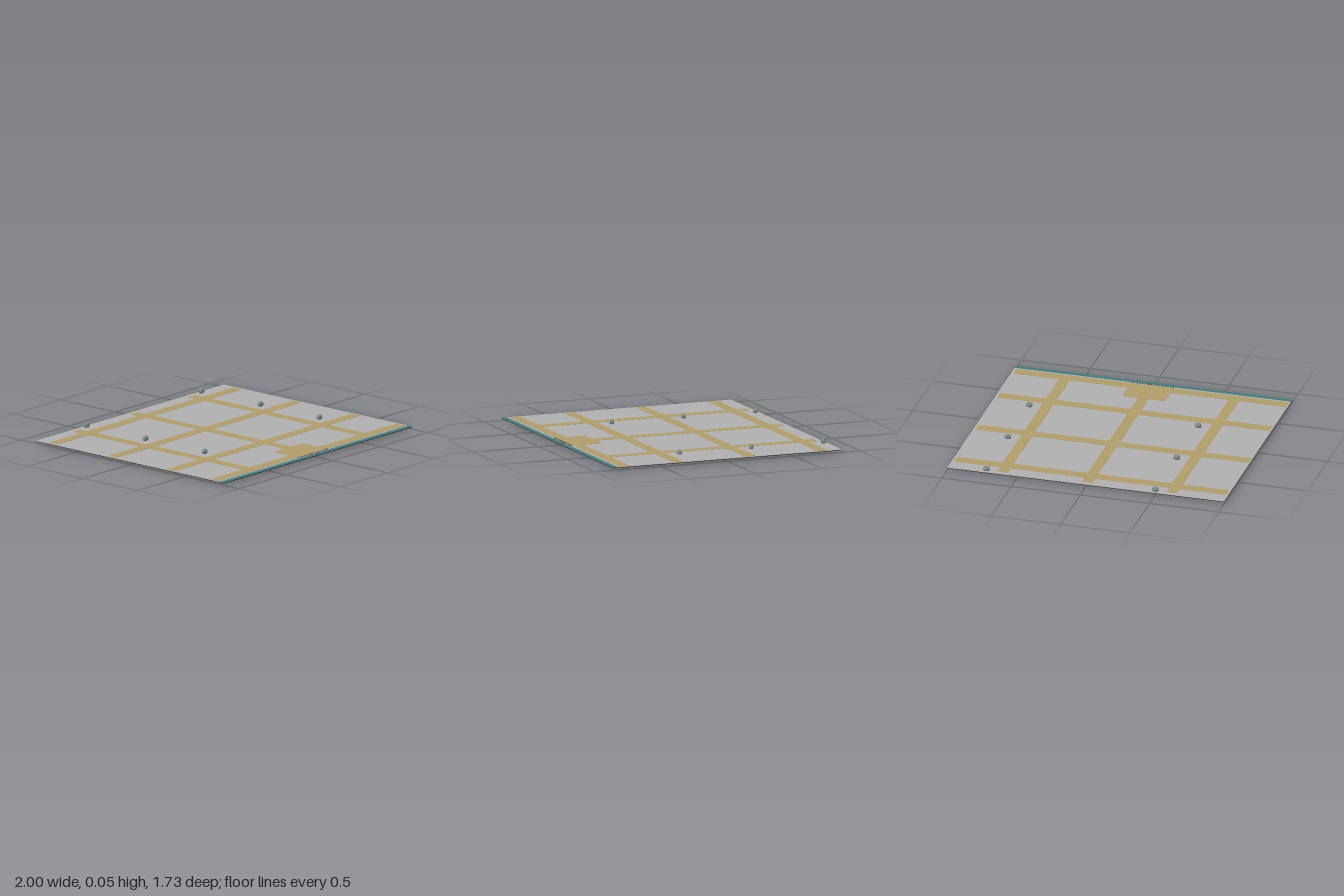
import * as THREE from 'three';

const mat = (color) => new THREE.MeshStandardMaterial({ color });
const earthMat = mat(0x3b2c22);
const groundMat = mat(0xb0b0b0);
const roadMat = mat(0xb09c68);
const waterMat = mat(0x3f7c80);
const treeMat = mat(0x7c8a86);
const pinMat = mat(0xcccccc);
const darkMat = mat(0x4a4238);

// Box given by its limits on each axis
function slab(parent, name, material, [x0, x1], [y0, y1], [z0, z1]) {
  const mesh = new THREE.Mesh(new THREE.BoxGeometry(x1 - x0, y1 - y0, z1 - z0), material);
  mesh.position.set((x0 + x1) / 2, (y0 + y1) / 2, (z0 + z1) / 2);
  mesh.name = name;
  parent.add(mesh);
  return mesh;
}

export function createModel() {
  const model = new THREE.Group();
  model.name = 'sitePlate';

  // Layered base: earth below, paved ground on top, low water strip in front
  slab(model, 'earthBase', earthMat, [-1, 1], [0.013, 0.017], [-0.864, 0.864]);
  slab(model, 'ground', groundMat, [-1, 1], [0.017, 0.02], [-0.864, 0.826]);
  slab(model, 'waterStrip', waterMat, [-1, 1], [0.017, 0.0185], [0.826, 0.864]);

  // Street grid
  const roads = new THREE.Group();
  roads.name = 'roads';
  model.add(roads);
  for (const z of [-0.72, -0.176, 0.364, 0.771]) {
    slab(roads, 'crossRoad', roadMat, [-0.985, 0.982], [0.0195, 0.0213], [z - 0.038, z + 0.038]);
  }
  for (const x of [-0.612, 0, 0.612]) {
    slab(roads, 'longRoad', roadMat, [x - 0.038, x + 0.038], [0.0195, 0.0211], [-0.827, 0.8]);
  }
  slab(roads, 'square', roadMat, [-0.153, 0.153], [0.0195, 0.0216], [0.59, 0.809]);

  // Row of small posts along the quay in front of the square
  const quay = new THREE.Group();
  quay.name = 'quayPosts';
  model.add(quay);
  for (let i = 0; i < 16; i++) {
    const x = -0.15 + i * 0.02;
    slab(quay, 'quayPost', darkMat, [x - 0.004, x + 0.004], [0.019, 0.024], [0.817, 0.821]);
  }
  slab(quay, 'mooring', darkMat, [0.012, 0.036], [0.018, 0.022], [0.829, 0.837]);

  // Flattened round markers, each on a thin pin through the base
  const crown = new THREE.SphereGeometry(1, 16, 12);
  const pin = new THREE.CylinderGeometry(0.003, 0.003, 0.03, 6);
  for (const x of [-0.494, 0.727]) {
    for (const z of [-0.834, -0.293, 0.248]) {
      const marker = new THREE.Group();
      marker.name = 'marker';
      marker.position.set(x, 0, z);
      const ball = new THREE.Mesh(crown, treeMat);
      ball.name = 'markerBall';
      ball.scale.set(0.025, 0.021, 0.016);
      ball.position.y = 0.033;
      const stem = new THREE.Mesh(pin, pinMat);
      stem.name = 'markerPin';
      stem.position.y = 0.015;
      marker.add(ball, stem);
      model.add(marker);
    }
  }
  return model;
}
